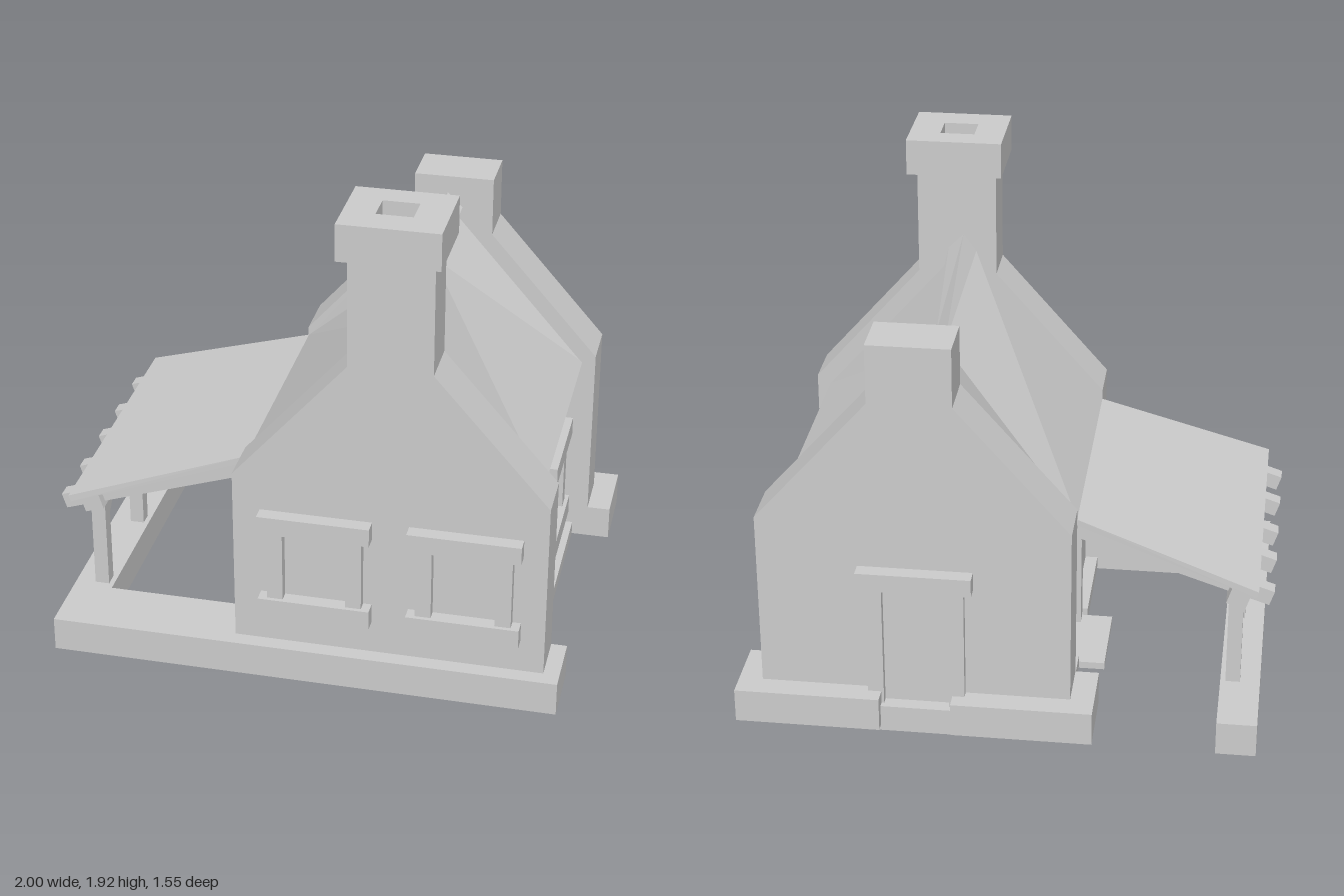
import * as THREE from 'three';

const mat = new THREE.MeshStandardMaterial({ color: 0xcccccc, flatShading: true });
const openMat = new THREE.MeshStandardMaterial({ color: 0xcccccc, flatShading: true, side: THREE.DoubleSide });

export function createModel() {
  const root = new THREE.Group();

  const add = (name, geo, parent = root) => {
    const m = new THREE.Mesh(geo, mat);
    m.name = name;
    parent.add(m);
    return m;
  };

  // Box from its limits on each axis
  const box = (name, [x0, x1], [y0, y1], [z0, z1], parent) => {
    const m = add(name, new THREE.BoxGeometry(x1 - x0, y1 - y0, z1 - z0), parent);
    m.position.set((x0 + x1) / 2, (y0 + y1) / 2, (z0 + z1) / 2);
    return m;
  };

  // Stone base block, open underneath
  const baseBlock = (name, xs, zs) => {
    const m = box(name, xs, [0.027, 0.16], zs);
    const faces = Array.from(m.geometry.index.array);
    faces.splice(18, 6);
    m.geometry.setIndex(faces);
    m.material = openMat;
  };

  // Square bar between two points
  const bar = (name, a, b, w, h) => {
    const p = new THREE.Vector3(...a), q = new THREE.Vector3(...b);
    const m = add(name, new THREE.BoxGeometry(w, h, p.distanceTo(q)));
    m.position.copy(p).add(q).multiplyScalar(0.5);
    m.lookAt(q);
  };

  // Solid through matching sections, front to back, corners counter-clockwise
  const loft = (name, sections) => {
    const pos = [], n = sections[0].length;
    const put = (...pts) => pts.forEach((p) => pos.push(...p));
    for (let s = 0; s < sections.length - 1; s++) {
      const a = sections[s], b = sections[s + 1];
      for (let i = 0; i < n; i++) {
        const j = (i + 1) % n;
        put(a[i], b[i], b[j], a[i], b[j], a[j]);
      }
    }
    const f = sections[0], k = sections[sections.length - 1];
    for (let i = 1; i < n - 1; i++) put(f[0], f[i], f[i + 1], k[0], k[i + 1], k[i]);
    const g = new THREE.BufferGeometry();
    g.setAttribute('position', new THREE.Float32BufferAttribute(pos, 3));
    g.computeVertexNormals();
    add(name, g);
  };

  // Gable walls, each rising into a chimney
  const gable = (name, top, z, depth) => {
    const s = new THREE.Shape([
      [-0.26, 0.16], [0.91, 0.16], [0.91, 0.86], [0.48, 1.35],
      [0.48, top], [0.17, top], [0.17, 1.35], [-0.26, 0.86],
    ].map(([x, y]) => new THREE.Vector2(x, y)));
    const m = add(name, new THREE.ExtrudeGeometry(s, { depth, bevelEnabled: false }));
    m.position.z = z;
  };
  gable('frontGable', 1.78, 0.515, 0.195);
  gable('backGable', 1.58, -0.685, 0.2);

  // Chimney cap with flue opening
  const rect = (C, x0, x1, y0, y1) => new C([
    new THREE.Vector2(x0, y0), new THREE.Vector2(x1, y0),
    new THREE.Vector2(x1, y1), new THREE.Vector2(x0, y1)]);
  const capShape = rect(THREE.Shape, 0.14, 0.51, -0.768, -0.443);
  capShape.holes.push(rect(THREE.Path, 0.257, 0.39, -0.655, -0.54));
  const cap = add('chimneyCap', new THREE.ExtrudeGeometry(capShape, { depth: 0.14, bevelEnabled: false }));
  cap.rotation.x = -Math.PI / 2;
  cap.position.y = 1.783;

  // Side walls, set back under the eaves, with footings between the gables
  box('rightWall', [0.76, 0.8], [0.027, 0.85], [-0.49, 0.515]);
  box('rightFooting', [0.79, 0.85], [0.027, 0.08], [-0.49, 0.515]);
  box('leftWall', [-0.2, -0.16], [0.027, 0.83], [-0.49, 0.515]);
  box('leftFootingFront', [-0.25, -0.19], [0.027, 0.08], [0.1, 0.515]);
  box('leftFootingBack', [-0.25, -0.19], [0.027, 0.08], [-0.49, -0.25]);

  // Sagging roof: the ridge dips near the back while the eaves stay straight
  const roofRows = [[0.515, 0.515, 0], [-0.49, -0.2, 0.1], [-0.49, -0.49, 0]];
  loft('leftRoof', roofRows.map(([e, r, d]) => [
    [-0.2, 0.78, e], [0.36 - d * 0.2, 1.455 - d * 0.87, r], [0.3, 1.515 - d, r],
    [0.25 + d * 0.2, 1.445 - d * 0.8, r], [-0.26, 0.822, e]]));
  loft('rightRoof', roofRows.map(([e, r, d]) => [
    [0.27, 1.42 - d, r], [0.843, 0.805, e], [0.857, 0.828, e], [0.3, 1.465 - d, r]]));

  // Stone base
  baseBlock('frontBase', [-0.96, 0.97], [0.515, 0.77]);
  baseBlock('porchBase', [-0.96, -0.81], [-0.777, 0.515]);
  baseBlock('backBaseLeft', [0.45, 1.0], [-0.777, -0.49]);
  baseBlock('backBaseRight', [-0.35, 0.18], [-0.777, -0.49]);
  baseBlock('backBaseDoorway', [0.18, 0.45], [-0.685, -0.49]);
  box('backStep', [0.18, 0.45], [0.027, 0.11], [-0.74, -0.68]);

  // Frames are built facing +z around x = 0, then turned onto a wall
  const frame = (name, [x, z], turn, w, y0, y1, door) => {
    const g = new THREE.Group();
    g.name = name;
    g.position.set(x, 0, z);
    g.rotation.y = turn;
    root.add(g);
    const h = w / 2;
    box('lintel', [-h, h], [y1 - 0.072, y1], [-0.02, 0.055], g);
    if (!door) box('sill', [-h, h], [y0, y0 + 0.078], [-0.02, 0.055], g);
    for (const s of [-1, 1]) {
      const c = s * (h - 0.062);
      box('jamb', [c - 0.03, c + 0.03], [y0 + 0.06, y1 - 0.06], [-0.02, door ? 0.028 : 0.04], g);
    }
  };
  frame('frontWindowRight', [0.053, 0.71], 0, 0.42, 0.29, 0.722);
  frame('frontWindowLeft', [0.61, 0.71], 0, 0.42, 0.29, 0.722);
  frame('sideWindow', [0.8, -0.085], Math.PI / 2, 0.41, 0.25, 0.682);
  frame('backDoor', [0.317, -0.688], Math.PI, 0.43, 0.005, 0.682, true);
  frame('porchDoor', [-0.2, -0.075], -Math.PI / 2, 0.42, -0.03, 0.682, true);

  // Thresholds
  box('backThreshold', [0.12, 0.53], [0, 0.06], [-0.735, -0.715]);
  box('porchThreshold', [-0.35, -0.2], [0.022, 0.05], [-0.25, 0.1]);

  // Porch roof, flaring outwards
  loft('porchRoof', [[0.582, 0.515], [-0.56, -0.49]].map(([o, i]) => [
    [-0.932, 0.575, o], [-0.25, 0.8, i], [-0.25, 0.825, i], [-0.94, 0.6, o]]));

  // Rafters
  for (const z of [-0.435, -0.2, 0.01, 0.25, 0.468])
    bar('rafter', [-0.988, 0.52, z], [-0.2, 0.782, z], 0.058, 0.06);

  // Porch beam, posts and braces
  const beam = box('porchBeam', [-0.905, -0.83], [0.515, 0.59], [-0.53, 0.53]);
  beam.rotation.z = 0.31;
  for (const z of [-0.46, 0, 0.46]) {
    bar('porchPost', [-0.857, 0.15, z], [-0.857, 0.55, z], 0.055, 0.055);
    if (z) {
      const s = -Math.sign(z);
      bar('porchBrace', [-0.857, 0.4, z], [-0.857, 0.54, z + s * 0.13], 0.035, 0.035);
    }
  }

  return root;
}
